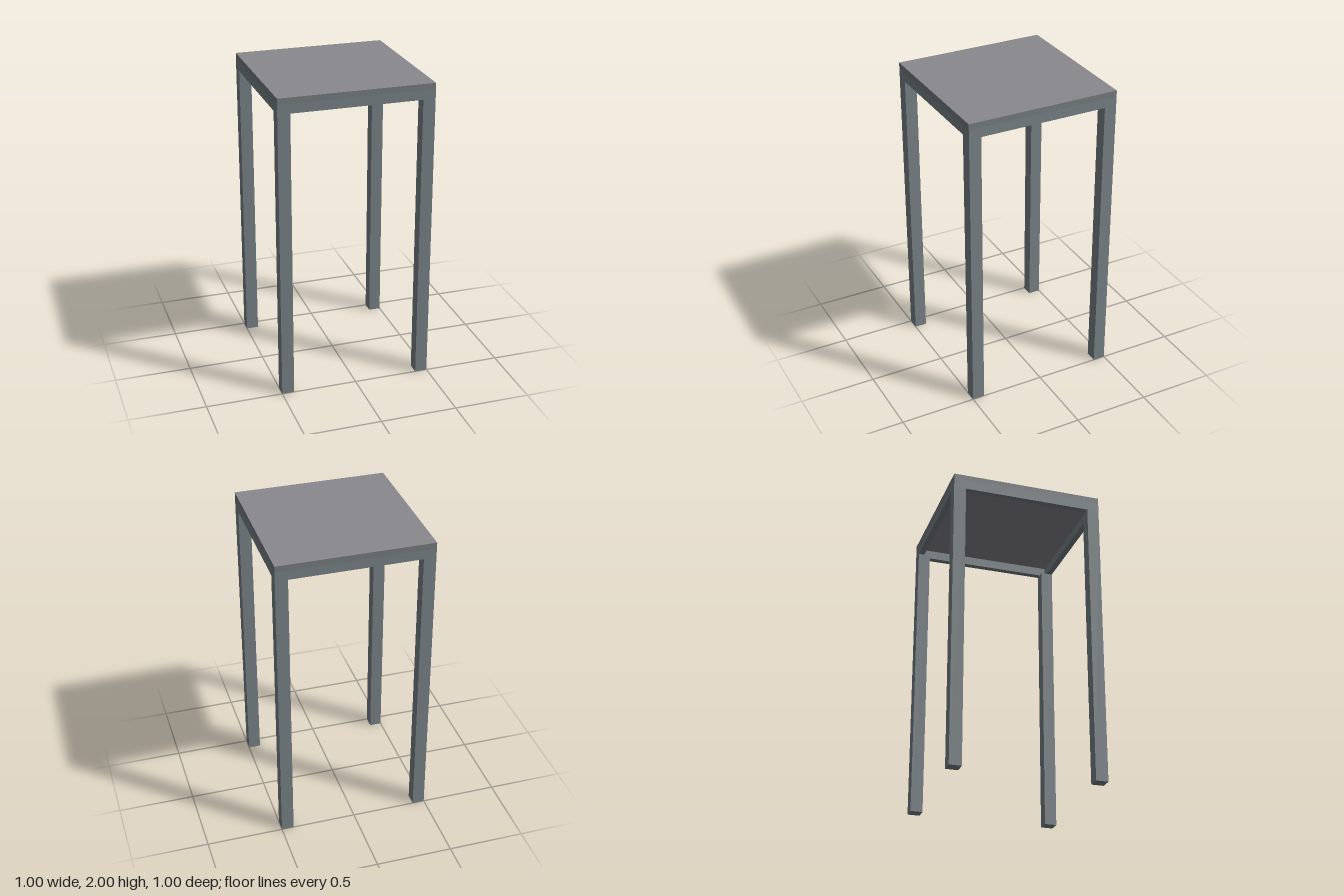
import * as THREE from 'three';

const WIDTH = 1, HEIGHT = 2;
const TOP = 0.04;      // tabletop thickness
const RAIL_H = 0.06, RAIL_T = 0.04;
const LEG = 0.08;

const paint = (color) => new THREE.MeshStandardMaterial({ color, flatShading: true });

export function createModel() {
  const model = new THREE.Group();
  model.name = 'tallTable';
  const frame = paint(0x798286);
  const edge = paint(0x767c80);
  const surface = paint(0x89898e);

  const addBox = (name, material, w, h, d, x, y, z) => {
    const mesh = new THREE.Mesh(new THREE.BoxGeometry(w, h, d), material);
    mesh.name = name;
    mesh.position.set(x, y, z);
    model.add(mesh);
  };

  // square top: lighter faces above and below, darker edges
  const topMaterials = [edge, edge, surface, surface, edge, edge];
  addBox('tabletop', topMaterials, WIDTH, TOP, WIDTH, 0, HEIGHT - TOP / 2, 0);

  // thin rails under the edge of the top
  const railY = HEIGHT - TOP - RAIL_H / 2;
  const railOffset = (WIDTH - RAIL_T) / 2;
  const sideLength = WIDTH - 2 * RAIL_T;
  addBox('frontRail', frame, WIDTH, RAIL_H, RAIL_T, 0, railY, railOffset);
  addBox('backRail', frame, WIDTH, RAIL_H, RAIL_T, 0, railY, -railOffset);
  addBox('leftRail', frame, RAIL_T, RAIL_H, sideLength, railOffset, railY, 0);
  addBox('rightRail', frame, RAIL_T, RAIL_H, sideLength, -railOffset, railY, 0);

  // square legs, flush with the outer corners and ending below the rails
  const legH = HEIGHT - TOP - RAIL_H;
  const legOffset = (WIDTH - LEG) / 2;
  for (const [zName, sz] of [['front', 1], ['back', -1]]) {
    for (const [xName, sx] of [['Left', 1], ['Right', -1]]) {
      addBox(`${zName}${xName}Leg`, frame, LEG, legH, LEG, sx * legOffset, legH / 2, sz * legOffset);
    }
  }

  return model;
}
